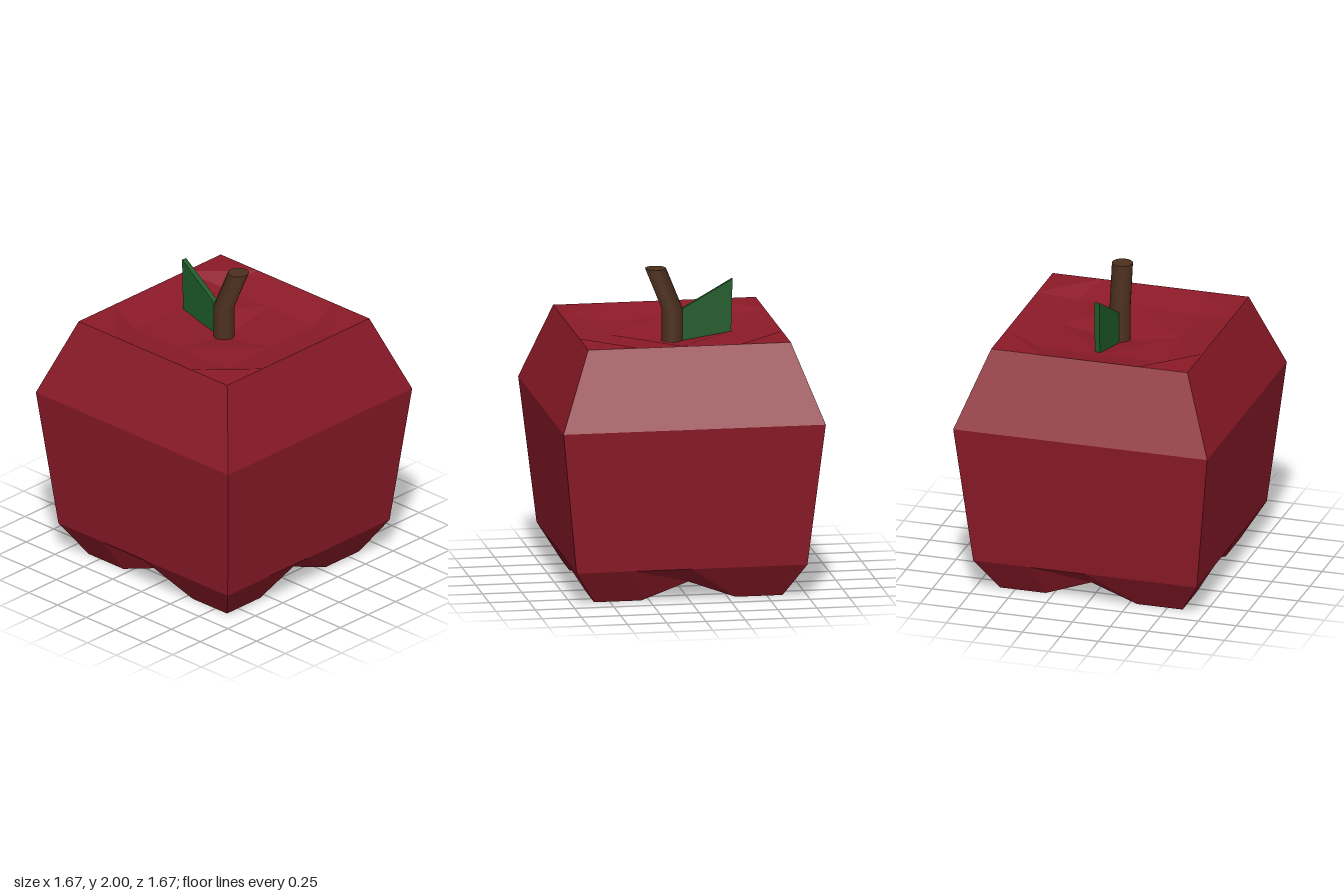
import * as THREE from 'three';

const material = (color) => new THREE.MeshStandardMaterial({ color });

// Four-sided faceted fruit with a dished top and a cross-shaped hollow underneath
function fruitGeometry() {
  const pos = [];
  const quad = (a, b, c, d) => pos.push(...a, ...b, ...d, ...b, ...c, ...d);

  // sloping bands, from the top rim down to the feet
  const rows = [[0.645, 1.635], [0.835, 1.14], [0.735, 0.22], [0.6, 0]];
  for (let side = 0; side < 4; side++) {
    const cos = [1, 0, -1, 0][side], sin = [0, 1, 0, -1][side];
    const point = (row, t) => {
      const [h, y] = rows[row];
      const x = t * h;
      return [x * cos + h * sin, row === 3 && t === 0 ? 0.11 : y, h * cos - x * sin];
    };
    for (let r = 0; r < 3; r++) {
      for (let t = -1; t < 1; t += 0.5) {
        quad(point(r + 1, t), point(r + 1, t + 0.5), point(r, t + 0.5), point(r, t));
      }
    }
  }

  // caps, each made of four mirrored quadrants
  const top = (i, j) => {
    const m = Math.max(i, j);
    const place = (k) => (m === 2 ? [0, 0.3225, 0.645][k] : 0.4 * k);
    return [place(i), [1.515, 1.58, 1.635][m], place(j)];
  };
  const bottom = (i, j) => [0.3 * i, i && j ? 0 : 0.11, 0.3 * j];
  for (const [cap, up] of [[top, true], [bottom, false]]) {
    for (const sx of [-1, 1]) for (const sz of [-1, 1]) {
      const p = (i, j) => {
        const [x, y, z] = cap(i, j);
        return [x * sx, y, z * sz];
      };
      for (let i = 0; i < 2; i++) for (let j = 0; j < 2; j++) {
        const a = p(i, j), b = p(i + 1, j), c = p(i + 1, j + 1), d = p(i, j + 1);
        if ((sx * sz > 0) === up) quad(a, d, c, b);
        else quad(a, b, c, d);
      }
    }
  }

  const geometry = new THREE.BufferGeometry();
  geometry.setAttribute('position', new THREE.Float32BufferAttribute(pos, 3));
  geometry.computeVertexNormals();
  return geometry;
}

// Round stem, upright below and leaning above the bend
function stemGeometry() {
  const base = 1.46, bend = 1.735, tip = 2;
  const geometry = new THREE.CylinderGeometry(0.066, 0.066, tip - base, 20, 2);
  const p = geometry.attributes.position;
  for (let i = 0; i < p.count; i++) {
    const y = p.getY(i);
    const level = y > 0.01 ? 2 : y < -0.01 ? 0 : 1;
    p.setY(i, [base, bend, tip][level]);
    if (level === 2) {
      p.setX(i, p.getX(i) + 0.108);
      p.setZ(i, p.getZ(i) - 0.018);
    }
  }
  return geometry;
}

// Thin slanted leaf
function leafGeometry() {
  const shape = new THREE.Shape([
    new THREE.Vector2(-0.045, 1.47),
    new THREE.Vector2(-0.045, 1.72),
    new THREE.Vector2(-0.38, 1.92),
    new THREE.Vector2(-0.37, 1.56),
  ]);
  return new THREE.ExtrudeGeometry(shape, { depth: 0.034, bevelEnabled: false })
    .translate(0, 0, -0.013)
    .rotateY(-0.1);
}

export function createModel() {
  const group = new THREE.Group();
  const add = (name, geometry, color) => {
    const mesh = new THREE.Mesh(geometry, material(color));
    mesh.name = name;
    group.add(mesh);
  };
  add('fruit', fruitGeometry(), 0x8c1a28);
  add('stem', stemGeometry(), 0x4d301f);
  add('leaf', leafGeometry(), 0x1d5a29);
  return group;
}
